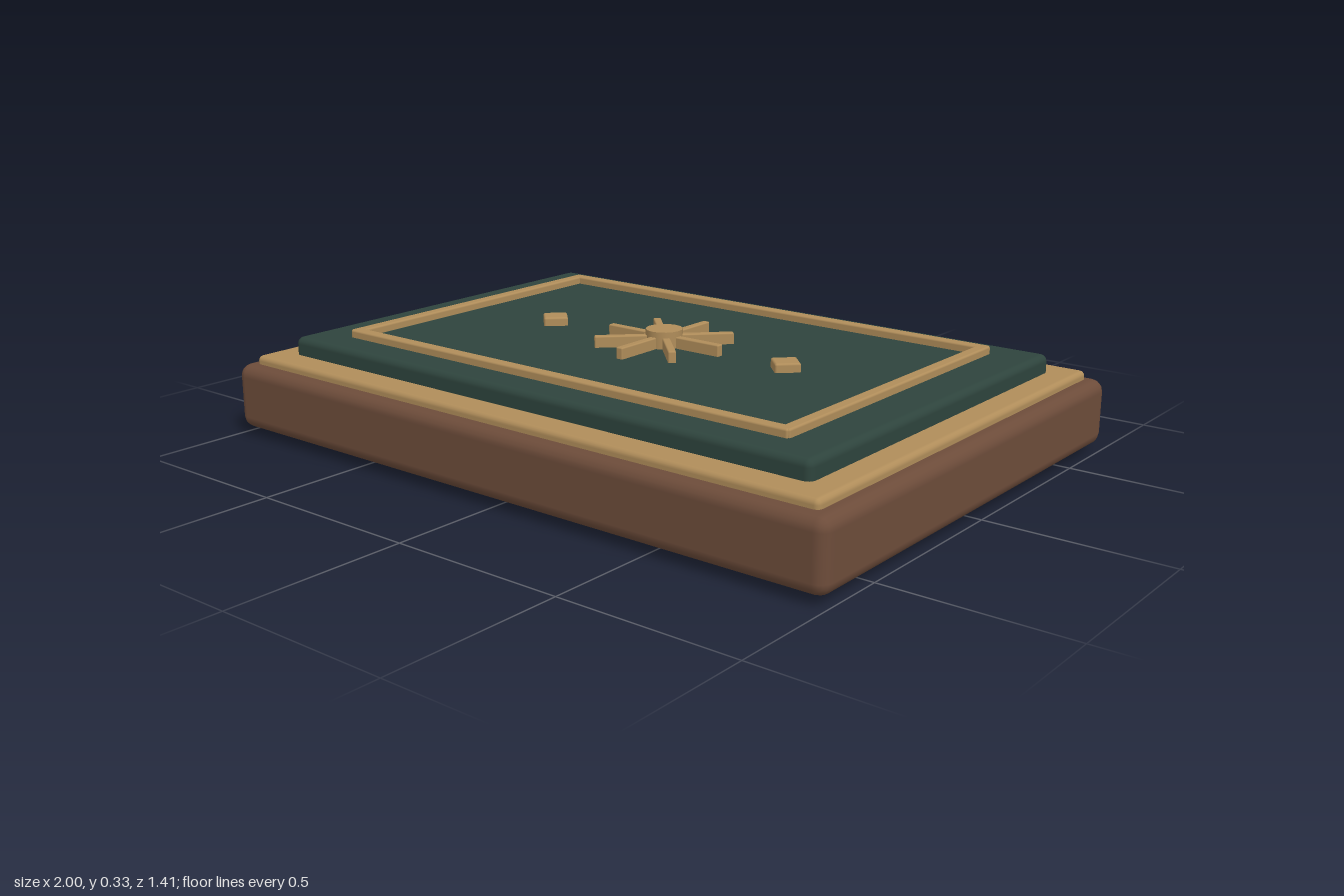
import * as THREE from 'three';
import { RoundedBoxGeometry } from 'three/addons/geometries/RoundedBoxGeometry.js';

function material(name, color) {
  const m = new THREE.MeshStandardMaterial({ color });
  m.name = name;
  return m;
}

export function createModel() {
  const model = new THREE.Group();
  model.name = 'ornamentedPlinth';
  const wood = material('brown wood', 0x6d4c3a);
  const brass = material('brass', 0xb08d5a);
  const cloth = material('dark green', 0x2e443d);
  const felt = material('black felt', 0x2e2a28);

  function add(name, geometry, mat, x, y, z, turn = 0) {
    const mesh = new THREE.Mesh(geometry, mat);
    mesh.name = name;
    mesh.position.set(x, y, z);
    mesh.rotation.y = turn;
    model.add(mesh);
    return mesh;
  }

  // Rounded slab given by its width, depth and lower and upper heights
  function slab(name, mat, w, d, y0, y1, r, x = 0, z = 0, turn = 0) {
    const geometry = new RoundedBoxGeometry(w, y1 - y0, d, 2, r);
    return add(name, geometry, mat, x, (y0 + y1) / 2, z, turn);
  }

  // Stacked layers
  slab('footPad', felt, 1.45, 1.05, 0, 0.05, 0.005);
  slab('woodBase', wood, 2, 1.41, 0.02, 0.207, 0.035);
  slab('brassTrim', brass, 1.91, 1.33, 0.17, 0.231, 0.015);
  slab('greenPanel', cloth, 1.76, 1.17, 0.2, 0.282, 0.02);

  // Raised border on the panel
  for (const s of [-1, 1]) {
    slab('borderLong', brass, 1.5, 0.034, 0.27, 0.304, 0.006, 0, s * 0.471);
    slab('borderShort', brass, 0.034, 0.968, 0.27, 0.304, 0.006, s * 0.737, 0);
  }

  // Central star: eight rays around a round hub
  for (let i = 0; i < 8; i++) {
    const a = (i * Math.PI) / 4;
    const mid = 0.11;
    slab('starRay', brass, 0.17, 0.022, 0.278, 0.314, 0.004,
      Math.cos(a) * mid, -Math.sin(a) * mid, a);
  }
  add('starHub', new THREE.CylinderGeometry(0.052, 0.052, 0.05, 16), brass, 0, 0.305, 0);

  // Side diamonds
  for (const s of [-1, 1]) {
    slab('diamond', brass, 0.07, 0.07, 0.27, 0.307, 0.006, s * 0.41, 0, Math.PI / 4);
  }
  return model;
}
